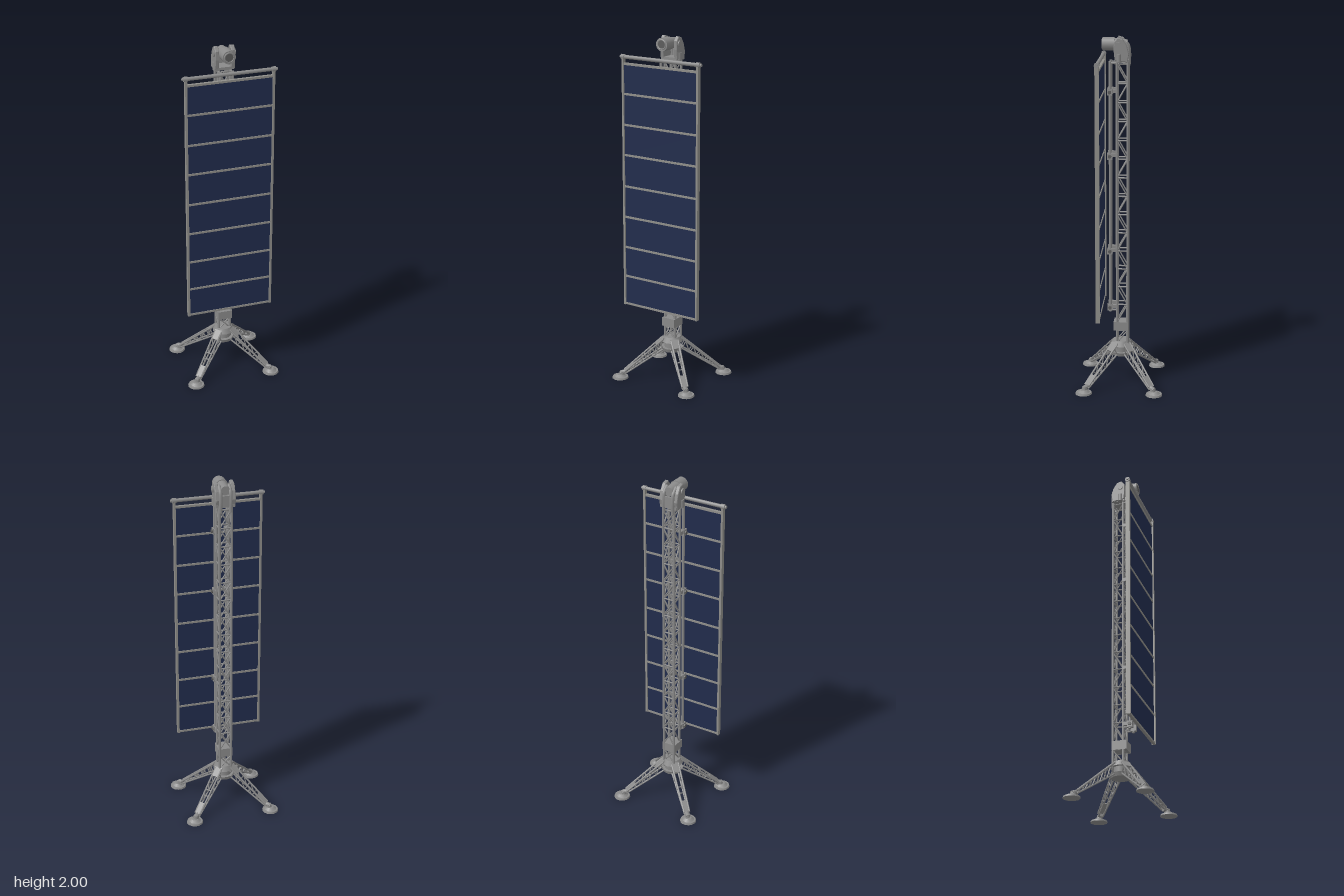
import * as THREE from 'three';

const mat = (name, color) => {
  const m = new THREE.MeshStandardMaterial({ color });
  m.name = name;
  return m;
};
const V = (x, y, z) => new THREE.Vector3(x, y, z);

export function createModel() {
  const model = new THREE.Group();
  model.name = 'solarMast';
  const metal = mat('grey metal', 0x8a8a8a);
  const frameGrey = mat('frame grey', 0x8f8e8a);
  const blue = mat('solar blue', 0x212c4c);
  const dark = mat('dark grey', 0x5c5c5c);

  const add = (parent, name, geo, m, x = 0, y = 0, z = 0) => {
    const mesh = new THREE.Mesh(geo, m);
    mesh.name = name;
    mesh.position.set(x, y, z);
    parent.add(mesh);
    return mesh;
  };
  const box = (parent, name, w, h, d, m, x, y, z) => add(parent, name, new THREE.BoxGeometry(w, h, d), m, x, y, z);
  const cyl = (parent, name, r1, r2, h, n, m, x, y, z) =>
    add(parent, name, new THREE.CylinderGeometry(r1, r2, h, n), m, x, y, z);
  // Round bar between two points
  const bar = (parent, name, a, b, r, m = metal, sides = 8) => {
    const mesh = cyl(parent, name, r, r, a.distanceTo(b), sides, m, 0, 0, 0);
    mesh.position.copy(a).add(b).multiplyScalar(0.5);
    mesh.quaternion.setFromUnitVectors(V(0, 1, 0), b.clone().sub(a).normalize());
    return mesh;
  };
  const group = (name) => {
    const g = new THREE.Group();
    g.name = name;
    model.add(g);
    return g;
  };

  // Lattice mast: four posts with braced bays
  const mast = group('mast');
  const px = 0.034, zf = 0.022, zb = -0.038;
  const corners = [[px, zf], [px, zb], [-px, zb], [-px, zf]];
  for (const [x, z] of corners) bar(mast, 'post', V(x, 0.2, z), V(x, 1.88, z), 0.0075);
  const bay = (y0, y1, i) => corners.forEach(([x, z], k) => {
    const [x2, z2] = corners[(k + 1) % 4];
    bar(mast, 'crossBar', V(x, y1, z), V(x2, y1, z2), 0.0045, metal, 6);
    const up = (i + (k >> 1)) % 2 === 0;
    const crossed = k % 2 === 1;
    if (up || crossed) bar(mast, 'brace', V(x, y0, z), V(x2, y1, z2), 0.004, metal, 6);
    if (!up || crossed) bar(mast, 'brace', V(x, y1, z), V(x2, y0, z2), 0.004, metal, 6);
  });
  bay(0.24, 0.315, 0);
  const bays = 14, y0 = 0.365, step = 1.49 / bays;
  for (let i = 0; i < bays; i++) bay(y0 + i * step, y0 + (i + 1) * step, i);
  box(mast, 'mastCollar', 0.084, 0.052, 0.084, metal, 0, 0.34, 0);

  // Guide rails in front of the mast, held by clamps
  const rails = group('guideRails');
  for (const s of [-1, 1]) {
    bar(rails, 'rail', V(s * 0.034, 0.43, 0.06), V(s * 0.034, 1.87, 0.06), 0.008);
    for (const y of [0.455, 0.79, 1.34, 1.7]) {
      box(rails, 'clamp', 0.024, 0.036, 0.03, metal, s * 0.034, y, 0.062);
      box(rails, 'clampArm', 0.014, 0.02, 0.036, metal, s * 0.034, y + 0.006, 0.036);
      cyl(rails, 'clampBolt', 0.01, 0.01, 0.008, 8, dark, s * 0.05, y, 0.062).rotation.z = Math.PI / 2;
    }
    for (const y of [0.43, 1.85]) bar(rails, 'railEnd', V(s * 0.034, y + 0.01, 0.06), V(s * 0.034, y + 0.01, zf), 0.006);
  }

  // Solar blanket: eight cells in a slim frame
  const panel = group('solarPanel');
  const pz = 0.116;
  const lines = [0.437, 0.605, 0.78, 0.96, 1.14, 1.322, 1.495, 1.67, 1.838];
  for (const s of [-1, 1]) {
    box(panel, 'sideRail', 0.012, 1.45, 0.024, frameGrey, s * 0.245, 1.155, pz);
    const cap = cyl(panel, 'cornerCap', 0.015, 0.015, 0.022, 8, metal, s * 0.246, 1.876, pz);
    cap.rotation.z = Math.PI / 2;
    cyl(panel, 'capBolt', 0.008, 0.008, 0.012, 8, metal, s * 0.26, 1.876, pz).rotation.z = Math.PI / 2;
  }
  bar(panel, 'topBar', V(-0.245, 1.876, pz), V(0.245, 1.876, pz), 0.011);
  lines.forEach((y, i) => {
    box(panel, 'divider', 0.48, 0.012, 0.016, frameGrey, 0, y, pz);
    if (i) box(panel, 'solarCell', 0.48, y - lines[i - 1] - 0.01, 0.008, blue, 0, (y + lines[i - 1]) / 2, pz);
  });

  // Hub at the foot of the mast
  const hub = group('hub');
  cyl(hub, 'hubTop', 0.05, 0.064, 0.03, 12, metal, 0, 0.235, 0);
  cyl(hub, 'hubBody', 0.046, 0.046, 0.06, 12, metal, 0, 0.2, 0);
  cyl(hub, 'hubBase', 0.064, 0.056, 0.022, 12, metal, 0, 0.172, 0);

  // Four truss legs with round feet
  for (const sx of [-1, 1]) for (const sz of [-1, 1]) {
    const leg = group('leg');
    leg.rotation.y = Math.atan2(-sz * 0.2, sx * 0.23);
    const top = (t, s) => V(0.055 + 0.225 * t, 0.235 - 0.192 * t, s * (0.021 - 0.005 * t));
    const low = (t, s) => V(0.055 + 0.225 * t, 0.172 - 0.145 * t, s * (0.019 - 0.006 * t));
    for (const s of [-1, 1]) {
      bar(leg, 'upperChord', top(0, s), top(1, s), 0.0055, metal, 6);
      bar(leg, 'lowerChord', low(0, s), low(1, s), 0.005, metal, 6);
      for (let i = 0; i < 5; i++) {
        const a = i / 5, b = (i + 1) / 5;
        bar(leg, 'legBrace', low(a, s), top((a + b) / 2, s), 0.0035, metal, 5);
        bar(leg, 'legBrace', top((a + b) / 2, s), low(b, s), 0.0035, metal, 5);
      }
    }
    // Solid plates at both ends of the leg and a tie halfway
    for (const [t, len, w] of [[0.08, 0.06, 0.046], [0.88, 0.07, 0.038]]) {
      const p = top(t, 0);
      box(leg, 'legPlate', len, 0.008, w, metal, p.x, p.y, 0).rotation.z = -Math.atan2(0.192, 0.225);
    }
    bar(leg, 'legTie', top(0.48, -1), top(0.48, 1), 0.004, metal, 6);
    bar(leg, 'legTie', low(0.5, -1), low(0.5, 1), 0.004, metal, 6);
    const fx = 0.305;
    cyl(leg, 'footPad', 0.045, 0.048, 0.01, 14, metal, fx, 0.005, 0);
    cyl(leg, 'footCone', 0.02, 0.036, 0.012, 8, metal, fx, 0.016, 0);
    cyl(leg, 'ankle', 0.014, 0.017, 0.02, 8, metal, fx - 0.01, 0.03, 0);
    bar(leg, 'ankleLink', V(0.272, 0.038, 0), V(fx, 0.028, 0), 0.014);
  }

  // Head: forward winch barrel between two cheeks on a curved neck
  const head = group('head');
  box(head, 'headPlate', 0.1, 0.016, 0.075, metal, 0, 1.876, -0.005);
  for (const s of [-1, 1]) {
    cyl(head, 'plateLug', 0.014, 0.014, 0.045, 8, metal, s * 0.05, 1.89, 0.01);
    const cheek = new THREE.Shape([[-0.034, 1.87], [0.03, 1.88], [0.036, 1.93], [0.034, 1.975],
      [0.016, 1.997], [-0.008, 1.99], [-0.03, 1.955], [-0.042, 1.91]].map(([a, b]) => new THREE.Vector2(a, b)));
    const geo = new THREE.ExtrudeGeometry(cheek, { depth: 0.016, bevelSize: 0.003, bevelThickness: 0.003, bevelSegments: 1 });
    geo.rotateY(-Math.PI / 2);
    add(head, 'cheek', geo, metal, s * 0.045 + 0.008, 0, 0);
    cyl(head, 'pivot', 0.018, 0.018, 0.01, 10, metal, s * 0.057, 1.96, 0.012).rotation.z = Math.PI / 2;
    const neck = new THREE.CatmullRomCurve3([V(s * 0.028, 1.84, -0.04), V(s * 0.028, 1.91, -0.043),
      V(s * 0.028, 1.955, -0.035), V(s * 0.028, 1.982, -0.005)]);
    add(head, 'neckTube', new THREE.TubeGeometry(neck, 12, 0.01, 8), metal);
  }
  box(head, 'neckWeb', 0.056, 0.06, 0.01, metal, 0, 1.905, -0.042);
  cyl(head, 'barrel', 0.037, 0.037, 0.066, 14, metal, 0, 1.962, 0.07).rotation.x = Math.PI / 2;
  cyl(head, 'barrelRear', 0.034, 0.026, 0.075, 14, metal, 0, 1.96, 0.002).rotation.x = Math.PI / 2;
  add(head, 'lensRing', new THREE.TorusGeometry(0.026, 0.005, 6, 16), metal, 0, 1.962, 0.102);
  add(head, 'lens', new THREE.CircleGeometry(0.023, 16), dark, 0, 1.962, 0.104);
  return model;
}
